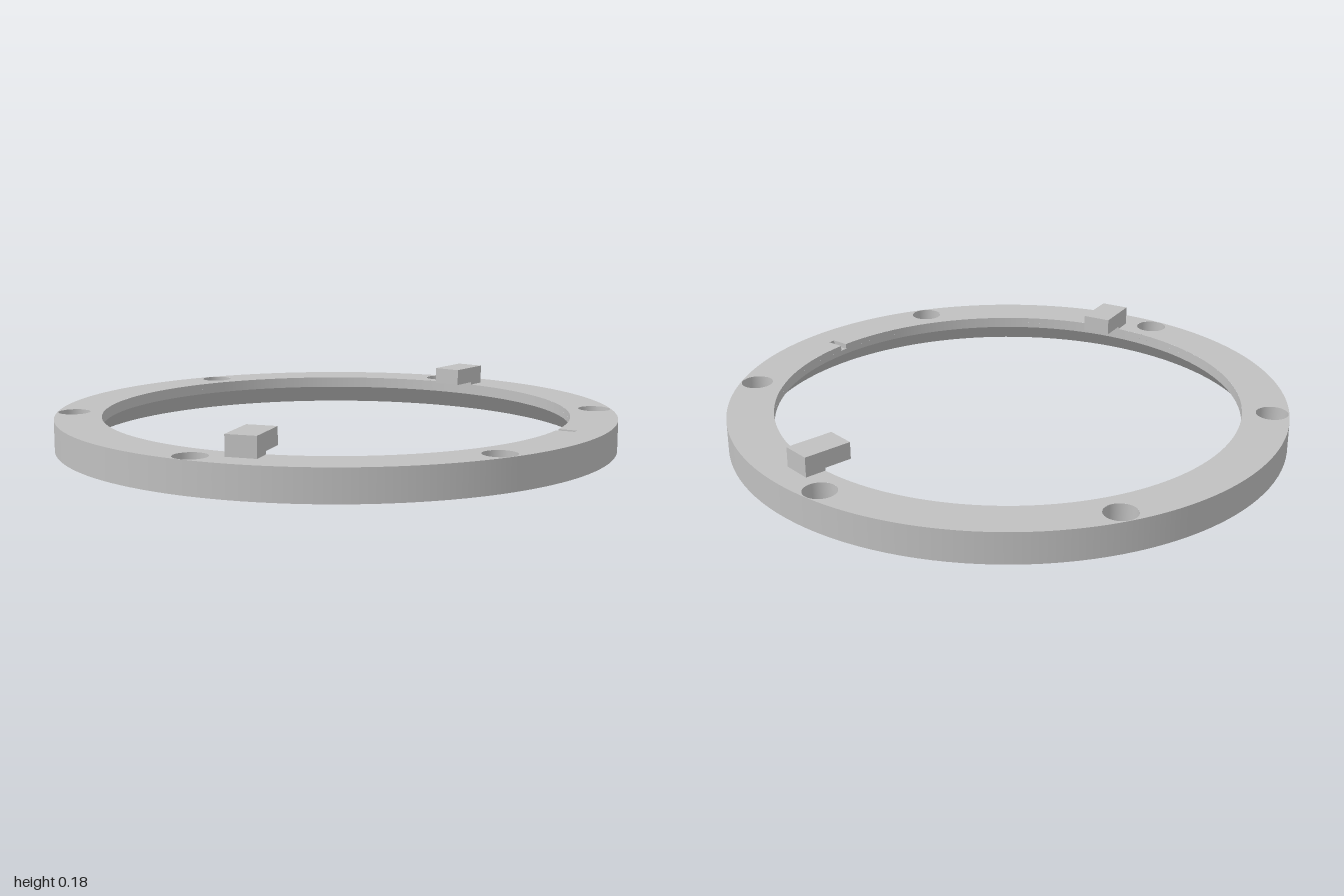
import * as THREE from 'three';

const SEG = 128;
const H = 0.11, OUTER = 1, INNER = 0.835, INNER_LOW = 0.903, LIP = 0.07;
const HOLE_AT = 0.94, BORE = 0.057, SCREW = 0.032, BORE_FLOOR = 0.04;
const SLOT_HALF = 0.013, SLOT_END = 0.9, SLOT_FLOOR = 0.09;

export function createModel() {
  const model = new THREE.Group();
  model.name = 'mountingRing';
  const grey = new THREE.MeshStandardMaterial({ color: 0xc0c0c0 });
  grey.name = 'plain grey';

  const add = (name, geometry, parent = model) => {
    const mesh = new THREE.Mesh(geometry, grey);
    mesh.name = name;
    parent.add(mesh);
    return mesh;
  };

  // One band of revolution: rising faces outward, falling faces the axis
  const band = (r0, y0, r1, y1, seg = SEG, start = 0, sweep = Math.PI * 2) =>
    new THREE.LatheGeometry(
      [new THREE.Vector2(r0, y0), new THREE.Vector2(r1, y1)], seg, start, sweep);

  const holes = Array.from({ length: 6 }, (_, i) => {
    const a = Math.PI / 6 + i * Math.PI / 3;
    return [HOLE_AT * Math.cos(a), HOLE_AT * Math.sin(a)];
  });

  // Flat ring outline pierced by the six holes
  const ringShape = (innerPath, holeRadius) => {
    const shape = new THREE.Shape().absarc(0, 0, OUTER, 0, Math.PI * 2);
    shape.holes.push(innerPath);
    for (const [x, y] of holes)
      shape.holes.push(new THREE.Path().absarc(x, y, holeRadius, 0, Math.PI * 2));
    return shape;
  };

  // Top face, its inner edge cut by the index slot
  const gap = Math.asin(SLOT_HALF / INNER);
  const topEdge = new THREE.Path().absarc(0, 0, INNER, gap, Math.PI * 2 - gap);
  topEdge.lineTo(SLOT_END, -SLOT_HALF);
  topEdge.lineTo(SLOT_END, SLOT_HALF);
  topEdge.closePath();
  add('topFace', new THREE.ShapeGeometry(ringShape(topEdge, BORE), SEG)
    .rotateX(-Math.PI / 2).translate(0, H, 0));

  // Bottom face
  const lowEdge = new THREE.Path().absarc(0, 0, INNER_LOW, 0, Math.PI * 2);
  add('bottomFace', new THREE.ShapeGeometry(ringShape(lowEdge, SCREW), SEG)
    .rotateX(Math.PI / 2));

  // Outer wall, inner lip and the flared underside
  add('outerWall', band(OUTER, 0, OUTER, H));
  add('innerLipUpper', band(INNER, H, INNER, SLOT_FLOOR, SEG,
    Math.PI / 2 + gap, Math.PI * 2 - 2 * gap));
  add('innerLipLower', band(INNER, SLOT_FLOOR, INNER, LIP));
  add('innerFlare', band(INNER, LIP, INNER_LOW, 0));

  // Counterbored screw holes
  for (const [x, z] of holes) {
    const hole = new THREE.Group();
    hole.name = 'screwHole';
    hole.position.set(x, 0, z);
    add('boreWall', band(BORE, H, BORE, BORE_FLOOR, 40), hole);
    add('boreFloor', band(BORE, BORE_FLOOR, SCREW, BORE_FLOOR, 40), hole);
    add('screwWall', band(SCREW, BORE_FLOOR, SCREW, 0, 40), hole);
    model.add(hole);
  }

  // Index slot: floor, end and two sides
  const slotLen = SLOT_END - INNER, slotDepth = H - SLOT_FLOOR;
  const slotX = (SLOT_END + INNER) / 2, slotY = (H + SLOT_FLOOR) / 2;
  add('slotFloor', new THREE.PlaneGeometry(slotLen, SLOT_HALF * 2)
    .rotateX(-Math.PI / 2).translate(slotX, SLOT_FLOOR, 0));
  add('slotEnd', new THREE.PlaneGeometry(SLOT_HALF * 2, slotDepth)
    .rotateY(-Math.PI / 2).translate(SLOT_END, slotY, 0));
  for (const side of [1, -1])
    add('slotSide', new THREE.PlaneGeometry(slotLen, slotDepth)
      .rotateY(side > 0 ? Math.PI : 0).translate(slotX, slotY, side * SLOT_HALF));

  // Two clip tabs reaching inward over the opening, each on a thin foot
  const tabAngle = THREE.MathUtils.degToRad(9.6);
  for (const angle of [tabAngle, Math.PI - tabAngle]) {
    const tab = new THREE.Group();
    tab.name = 'clipTab';
    tab.rotation.y = angle;
    add('tabBlock', new THREE.BoxGeometry(0.105, 0.06, 0.175)
      .translate(0, 0.15, 0.82), tab);
    add('tabFoot', new THREE.BoxGeometry(0.105, 0.012, 0.0745)
      .translate(0, 0.115, 0.87025), tab);
    model.add(tab);
  }

  return model;
}
